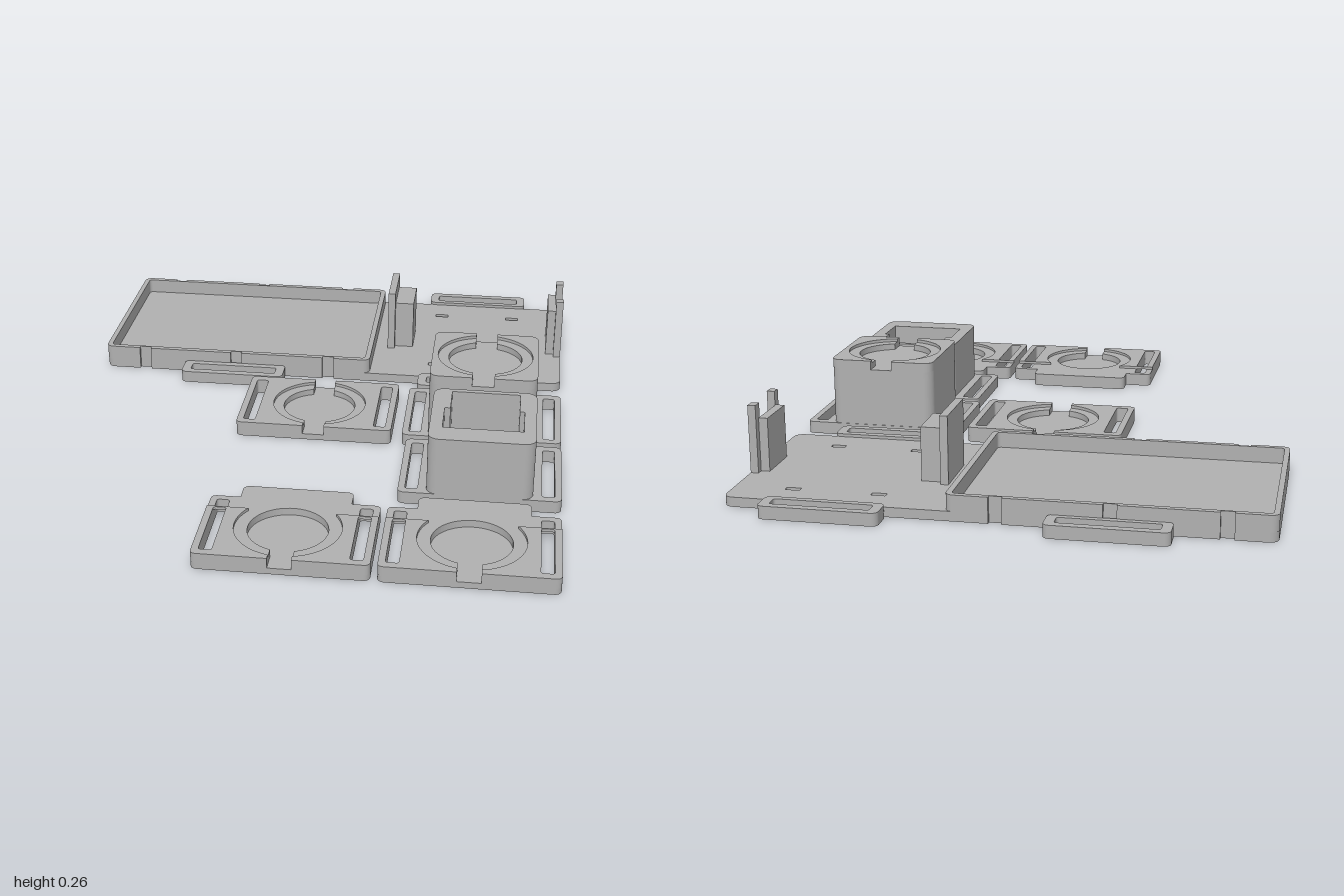
import * as THREE from 'three';

const grey = new THREE.MeshStandardMaterial({ color: 0xb0b0b0 });
grey.name = 'plain grey';

// Rounded rectangle in plan (x, z), with optional shallow notches in both long edges
function rect(x0, x1, z0, z1, r = 0.02, notches = [], Type = THREE.Shape) {
  const p = new Type(), w = 0.02, d = 0.012;
  p.moveTo(x0 + r, z0);
  for (const n of notches) {
    p.lineTo(n - w, z0); p.lineTo(n - w, z0 + d); p.lineTo(n + w, z0 + d); p.lineTo(n + w, z0);
  }
  p.lineTo(x1 - r, z0);
  p.absarc(x1 - r, z0 + r, r, -Math.PI / 2, 0, false);
  p.lineTo(x1, z1 - r);
  p.absarc(x1 - r, z1 - r, r, 0, Math.PI / 2, false);
  for (const n of [...notches].reverse()) {
    p.lineTo(n + w, z1); p.lineTo(n + w, z1 - d); p.lineTo(n - w, z1 - d); p.lineTo(n - w, z1);
  }
  p.lineTo(x0 + r, z1);
  p.absarc(x0 + r, z1 - r, r, Math.PI / 2, Math.PI, false);
  p.lineTo(x0, z0 + r);
  p.absarc(x0 + r, z0 + r, r, Math.PI, Math.PI * 1.5, false);
  return p;
}
const hole = (x0, x1, z0, z1, r = 0.008) => rect(x0, x1, z0, z1, r, [], THREE.Path);

// Upright prism from a plan shape
function slab(parent, name, shape, y0, y1, holes = []) {
  shape.holes.push(...holes);
  const geo = new THREE.ExtrudeGeometry(shape, { depth: y1 - y0, bevelEnabled: false, curveSegments: 16 });
  geo.rotateX(Math.PI / 2).translate(0, y1, 0);
  const mesh = new THREE.Mesh(geo, grey);
  mesh.name = name;
  parent.add(mesh);
}

const SLOT = 0.035; // half width of the finger channel

// Layer with a round pocket and a channel to the front edge (and to the back edge if backSlot > 0),
// made as two mirrored halves
function pocketLayer(parent, name, o, r, y0, y1) {
  const { cx, cz, hw, z0, z1, backSlot = 0, strap, c = 0.02 } = o;
  for (const s of [1, -1]) {
    const p = new THREE.Shape();
    const cut = z0 > cz - r;
    const sx = cut ? Math.sqrt(r * r - (cz - z0) ** 2) : backSlot;
    const sz = cut ? z0 - cz : -Math.sqrt(r * r - sx * sx);
    const a0 = Math.atan2(sz, sx), a1 = Math.acos(SLOT / r);
    const at = (x, z) => p.lineTo(cx + s * x, z);
    p.moveTo(cx + s * sx, z0);
    if (cut) at(hw, z0);
    else {
      at(hw - c, z0);
      p.quadraticCurveTo(cx + s * hw, z0, cx + s * hw, z0 + c);
    }
    at(hw, z1 - c);
    p.quadraticCurveTo(cx + s * hw, z1, cx + s * (hw - c), z1);
    at(SLOT, z1);
    for (let i = 0; i <= 32; i++) {
      const a = a1 + (a0 - a1) * i / 32;
      at(r * Math.cos(a), cz + r * Math.sin(a));
    }
    const holes = [];
    if (strap) {
      const xs = [cx + s * (hw - 0.06), cx + s * (hw - 0.021)].sort((a, b) => a - b);
      holes.push(hole(xs[0], xs[1], strap[0], strap[1]));
    }
    slab(parent, name, p, y0, y1, holes);
  }
}

// The pair of strap openings of a holder
const strapHoles = (x0, x1, z0, z1) => [
  hole(x0 + 0.021, x0 + 0.06, z0, z1), hole(x1 - 0.06, x1 - 0.021, z0, z1)];

function addGroup(parent, name) {
  const g = new THREE.Group();
  g.name = name;
  parent.add(g);
  return g;
}

function box(parent, name, x0, x1, y0, y1, z0, z1) {
  const m = new THREE.Mesh(new THREE.BoxGeometry(x1 - x0, y1 - y0, z1 - z0), grey);
  m.position.set((x0 + x1) / 2, (y0 + y1) / 2, (z0 + z1) / 2);
  m.name = name;
  parent.add(m);
}

export function createModel() {
  const root = new THREE.Group();
  root.name = 'mountingKit';

  // Base plate with underside recesses, screw slots and tray rim
  const plate = addGroup(root, 'trayPlate');
  const notches = [-0.668, -0.338, -0.008];
  const screws = () => [0.365, 0.63].flatMap(x => [-0.81, -0.38].map(z =>
    hole(x - 0.023, x + 0.023, z - 0.01, z + 0.01, 0.004)));
  const outline = () => rect(-0.81, 0.81, -0.915, -0.275, 0.03, notches);
  slab(plate, 'plateUnderside', outline(), 0, 0.012, [...screws(),
    ...[-0.58, -0.09].map(x => hole(x - 0.16, x + 0.16, -0.755, -0.435, 0.03))]);
  slab(plate, 'plateTop', outline(), 0.012, 0.03, screws());
  slab(plate, 'trayRim', rect(-0.81, 0.14, -0.915, -0.275, 0.025, notches), 0.03, 0.08,
    [hole(-0.793, 0.122, -0.897, -0.293, 0.012)]);

  // Strap loops on both long edges
  for (const [x0, x1] of [[-0.52, -0.16], [0.315, 0.675]]) {
    slab(plate, 'strapLoop', rect(x0, x1, -1, -0.912, 0.02), 0, 0.04,
      [hole(x0 + 0.03, x1 - 0.03, -0.975, -0.932)]);
    slab(plate, 'strapLoop', rect(x0, x1, -0.278, -0.185, 0.02), 0, 0.04,
      [hole(x0 + 0.03, x1 - 0.03, -0.253, -0.21)]);
  }

  // Upright brackets
  const inner = addGroup(plate, 'innerBracket');
  box(inner, 'bracketPlate', 0.185, 0.21, 0.03, 0.245, -0.69, -0.495);
  box(inner, 'bracketBlock', 0.21, 0.275, 0.03, 0.2, -0.667, -0.517);
  const outer = addGroup(plate, 'outerBracket');
  box(outer, 'bracketPlate', 0.785, 0.81, 0.03, 0.155, -0.69, -0.495);
  box(outer, 'bracketProng', 0.785, 0.81, 0.155, 0.245, -0.69, -0.657);
  box(outer, 'bracketProng', 0.785, 0.81, 0.155, 0.245, -0.525, -0.495);
  box(outer, 'bracketBlock', 0.757, 0.785, 0.03, 0.2, -0.667, -0.517);

  // Low round holder with channels front and back
  const low = addGroup(root, 'lowHolder');
  const lowShape = { cx: 0, cz: 0.012, hw: 0.257, z0: -0.16, z1: 0.185, backSlot: SLOT, strap: [-0.132, 0.16] };
  slab(low, 'holderFloor', rect(-0.257, 0.257, -0.16, 0.185), 0, 0.02, strapHoles(-0.257, 0.257, -0.132, 0.16));
  pocketLayer(low, 'holderPocket', lowShape, 0.12, 0.02, 0.04);
  pocketLayer(low, 'holderRim', lowShape, 0.155, 0.04, 0.05);

  // Tall round holder, hollow from below
  const tall = addGroup(root, 'tallHolder');
  const cavity = () => hole(0.43, 0.67, -0.108, 0.132, 0.01);
  const tallShape = { cx: 0.55, cz: 0.012, hw: 0.173, z0: -0.158, z1: 0.185, backSlot: SLOT, c: 0.035 };
  const column = () => rect(0.377, 0.723, -0.158, 0.185, 0.035);
  slab(tall, 'holderBase', rect(0.293, 0.81, -0.16, 0.185), 0, 0.04,
    [...strapHoles(0.293, 0.81, -0.132, 0.16), cavity()]);
  slab(tall, 'holderColumn', column(), 0.04, 0.2, [cavity()]);
  slab(tall, 'holderFloor', column(), 0.2, 0.23);
  pocketLayer(tall, 'holderPocket', tallShape, 0.12, 0.23, 0.25);
  pocketLayer(tall, 'holderRim', tallShape, 0.155, 0.25, 0.26);

  // Square socket, open at the top
  const socket = addGroup(root, 'squareSocket');
  const well = new THREE.Path([[0.455, 0.23], [0.67, 0.23], [0.67, 0.345], [0.685, 0.345],
    [0.685, 0.475], [0.437, 0.475], [0.437, 0.345], [0.455, 0.345]].map(p => new THREE.Vector2(...p)));
  slab(socket, 'socketBase', rect(0.31, 0.81, 0.21, 0.555), 0, 0.04, strapHoles(0.31, 0.81, 0.238, 0.53));
  slab(socket, 'socketWalls', rect(0.397, 0.723, 0.212, 0.555, 0.035), 0.04, 0.23, [well]);

  // Two flat round holders with a tongue at the back
  for (const cx of [0.012, 0.55]) {
    const flat = addGroup(root, 'tongueHolder');
    const x0 = cx - 0.259, x1 = cx + 0.259;
    const shape = { cx, cz: 0.82, hw: 0.259, z0: 0.653, z1: 0.997, strap: [0.675, 0.972] };
    slab(flat, 'holderFloor', rect(x0, x1, 0.653, 0.997), 0, 0.02, strapHoles(x0, x1, 0.675, 0.972));
    pocketLayer(flat, 'holderPocket', shape, 0.12, 0.02, 0.043);
    pocketLayer(flat, 'holderRim', { ...shape, z0: 0.73, strap: [0.735, 0.972] }, 0.16, 0.043, 0.052);
    slab(flat, 'holderTongue', rect(cx - 0.17, cx + 0.17, 0.585, 0.675, 0.02), 0, 0.043);
  }
  return root;
}
